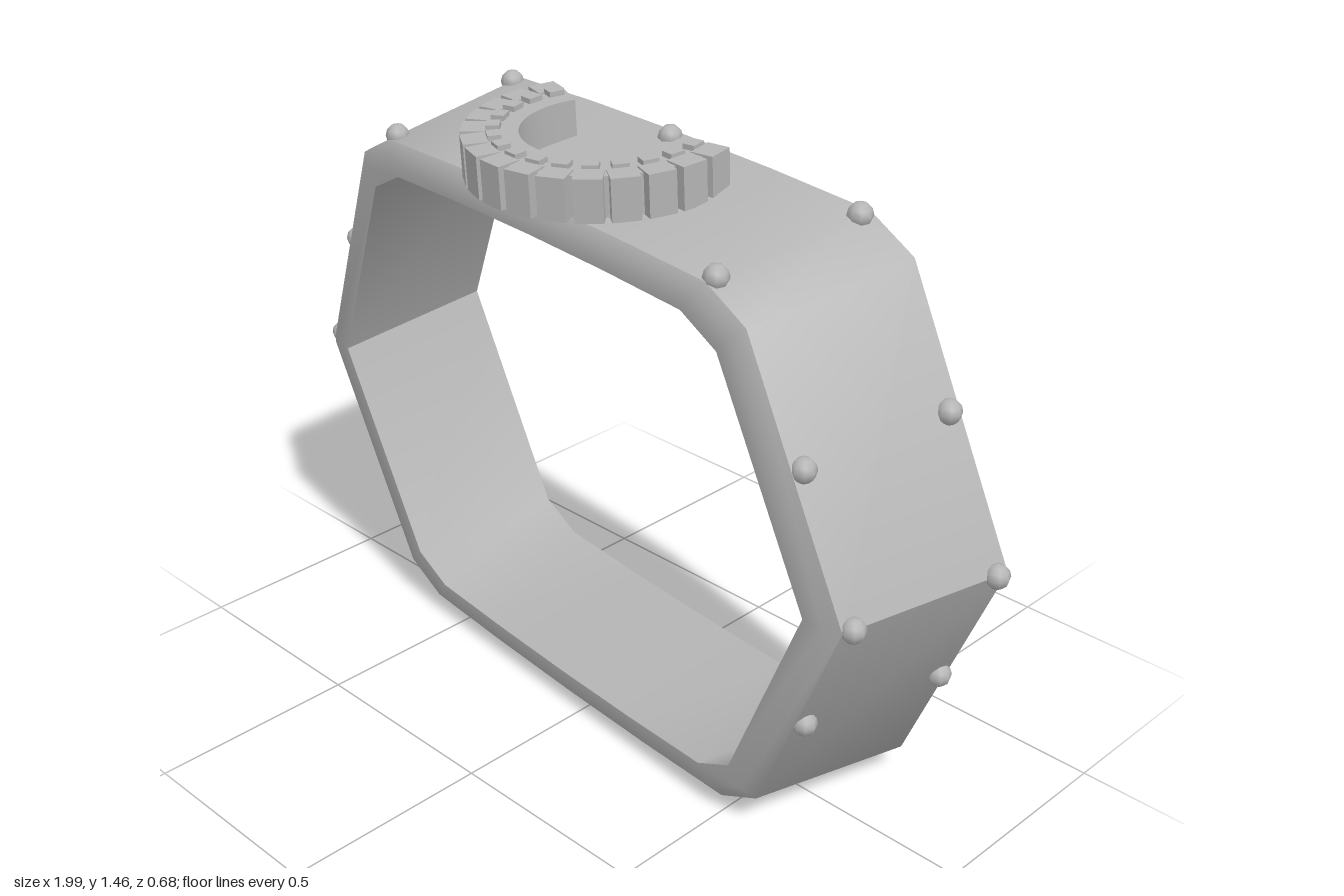
import * as THREE from 'three';
import { toCreasedNormals } from 'three/addons/utils/BufferGeometryUtils.js';

const metal = new THREE.MeshStandardMaterial({ color: 0xb4b4b4 });
metal.name = 'grey metal';

// Tapered, slightly turned and leaning band space -> model space
function place(x, y, z) {
  const s = 1 - 0.16 * z;
  const u = x * s, v = y * s;
  return new THREE.Vector3(
    -0.025 - 0.147 * z + u,
    0.685 - 0.065 * z + v,
    -0.02 + 0.089 * u + 0.07 * v + z
  );
}

// Hexagonal outline with cut upper and lower corners, counter-clockwise
const quarter = [[0.94, 0], [0.674, 0.597], [0.557, 0.66]];
const upper = [...quarter, [0.28, 0.669], [0, 0.672], [-0.28, 0.669],
  ...quarter.slice(1).reverse().map(([x, y]) => [-x, y])];
const profile = [...upper, ...upper.map(([x, y]) => [-x, -y])];

function createBand() {
  // Cross-section of the band: scale in x, scale in y, depth
  const section = [
    [1, 1, 0.195], [1, 1, -0.195],
    [0.966, 0.962, -0.215], [0.905, 0.89, -0.215],
    [0.905, 0.89, 0.215], [0.966, 0.962, 0.215],
  ];
  const n = profile.length, m = section.length;
  const points = [], index = [];
  section.forEach(([sx, sy, z]) =>
    profile.forEach(([x, y]) => points.push(place(x * sx, y * sy, z))));
  for (let j = 0; j < m; j++) {
    for (let i = 0; i < n; i++) {
      const k = (j + 1) % m, l = (i + 1) % n;
      const a = j * n + i, b = k * n + i, c = k * n + l, d = j * n + l;
      index.push(a, b, c, a, c, d);
    }
  }
  const geo = new THREE.BufferGeometry().setFromPoints(points);
  geo.setIndex(index);
  const mesh = new THREE.Mesh(toCreasedNormals(geo, 0.72), metal);
  mesh.name = 'band';
  return mesh;
}

function createRivets() {
  const group = new THREE.Group();
  group.name = 'rivets';
  const geo = new THREE.SphereGeometry(0.028, 8, 6);
  const spots = [[0, 0.672]];
  for (const s of [-1, 1]) {
    spots.push([s * 0.94, 0], [s * 0.8, 0.318], [s * 0.8, -0.318], [s * 0.557, 0.66]);
  }
  for (const [x, y] of spots) {
    for (const z of [-0.17, 0.17]) {
      const rivet = new THREE.Mesh(geo, metal);
      rivet.name = 'rivet';
      rivet.position.copy(place(x, y, z));
      group.add(rivet);
    }
  }
  return group;
}

// Open ring with blocks around its rim, lying on top of the band
function createCrest() {
  const group = new THREE.Group();
  group.name = 'crest';
  const start = THREE.MathUtils.degToRad(160);
  const end = THREE.MathUtils.degToRad(380);

  const shape = new THREE.Shape();
  shape.absarc(0, 0, 0.28, start, end, false);
  shape.absarc(0, 0, 0.18, end, start, true);
  const ringGeo = new THREE.ExtrudeGeometry(shape, {
    depth: 0.09, bevelEnabled: false, curveSegments: 24,
  }).rotateX(-Math.PI / 2);
  const ring = new THREE.Mesh(toCreasedNormals(ringGeo, 0.6), metal);
  ring.name = 'crestRing';
  group.add(ring);

  const blockGeo = new THREE.BoxGeometry(0.055, 0.096, 0.062);
  const studGeo = new THREE.BoxGeometry(0.03, 0.02, 0.036);
  const count = 15;
  const add = (name, geo, radius, y, angle) => {
    const mesh = new THREE.Mesh(geo, metal);
    mesh.name = name;
    mesh.position.set(radius * Math.cos(angle), y, -radius * Math.sin(angle));
    mesh.rotation.y = angle;
    group.add(mesh);
  };
  for (let i = 0; i < count; i++) {
    const angle = start + (end - start) * (i + 0.5) / count;
    add('crestBlock', blockGeo, 0.277, 0.046, angle);
    add('crestStud', studGeo, 0.235, 0.092, angle);
  }

  group.position.set(-0.03, 1.355, 0.03);
  group.rotation.set(0.055, -0.08, 0);
  return group;
}

export function createModel() {
  const model = new THREE.Group();
  model.name = 'rivetedBand';
  model.add(createBand(), createRivets(), createCrest());
  return model;
}
